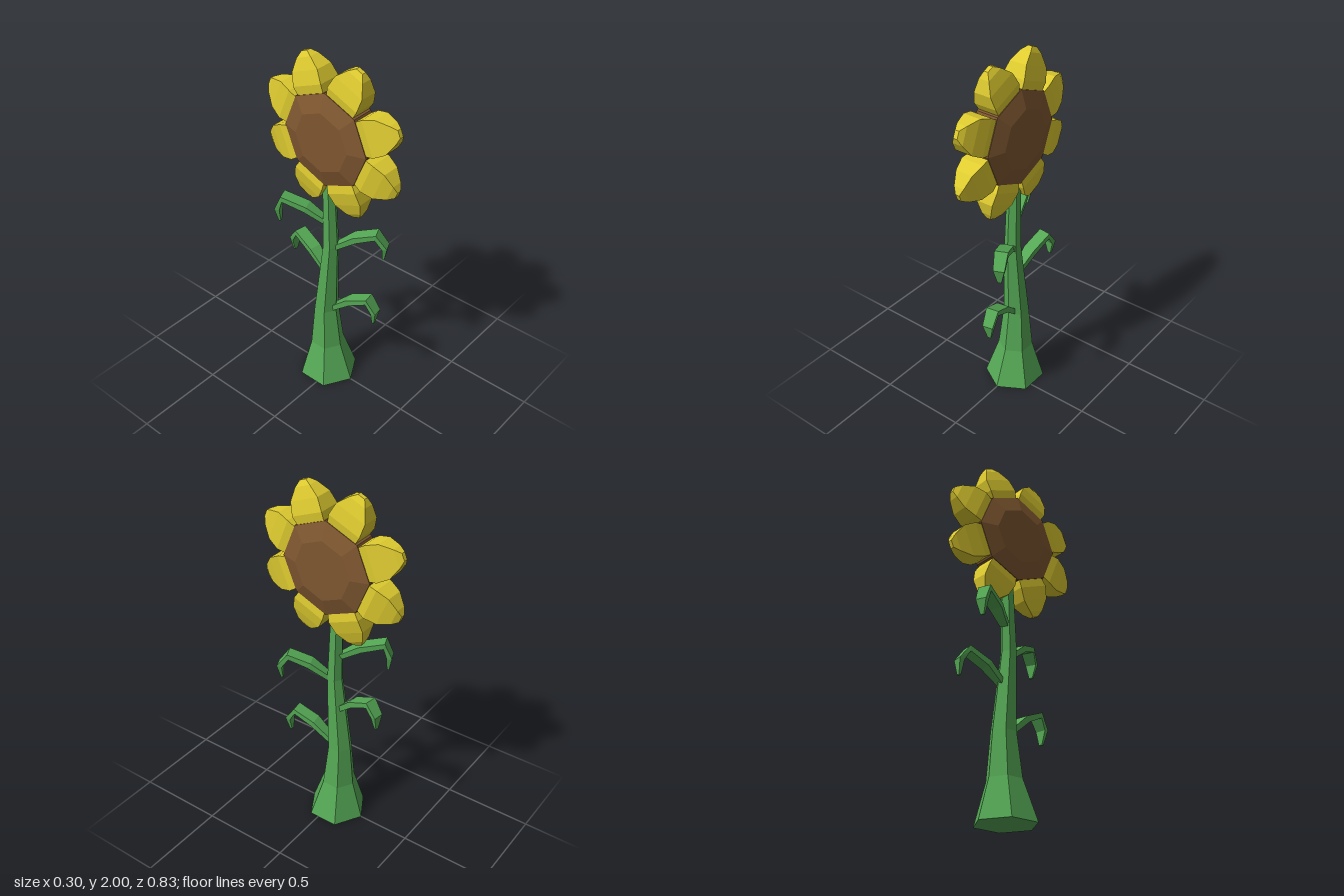
import * as THREE from 'three';

const material = (color) => new THREE.MeshStandardMaterial({ color, flatShading: true });
const green = material(0x55a855);
const brown = material(0x7f5730);
const yellow = material(0xdfcc30);

// Skin a list of equal-length rings (each counter-clockwise about the travel direction), capped at both ends
function loft(rings) {
  const n = rings[0].length;
  const index = [];
  for (let r = 0; r < rings.length - 1; r++) {
    for (let i = 0; i < n; i++) {
      const a = r * n + i, b = r * n + (i + 1) % n;
      index.push(a, b, b + n, a, b + n, a + n);
    }
  }
  const last = (rings.length - 1) * n;
  for (let i = 1; i < n - 1; i++) {
    index.push(0, i + 1, i);
    index.push(last, last + i, last + i + 1);
  }
  const indexed = new THREE.BufferGeometry().setFromPoints(rings.flat());
  indexed.setIndex(index);
  const geometry = indexed.toNonIndexed();
  geometry.computeVertexNormals();
  return geometry;
}

function part(name, geometry, mat) {
  const mesh = new THREE.Mesh(geometry, mat);
  mesh.name = name;
  return mesh;
}

const polygon = (sides, place) =>
  Array.from({ length: sides }, (_, i) => {
    const a = (i / sides) * Math.PI * 2;
    return place(Math.cos(a), Math.sin(a));
  });

const corners = [[-1, -1], [1, -1], [1, 1], [-1, 1]];

// Six-sided stem: [height, centre z, radius]
function stemGeometry() {
  const sections = [
    [0, -0.033, 0.168], [0.22, -0.042, 0.097], [0.465, -0.048, 0.07],
    [0.91, -0.014, 0.045], [1.4, -0.028, 0.033],
  ];
  return loft(sections.map(([y, z, r]) =>
    polygon(6, (c, s) => new THREE.Vector3(r * s, y, z + r * c))));
}

// Eight-sided seed disc with bevelled faces towards -x and +x: [x, radius]
function discGeometry() {
  const sections = [[-0.093, 0.165], [-0.063, 0.26], [0.063, 0.26], [0.093, 0.165]];
  return loft(sections.map(([x, r]) =>
    polygon(8, (c, s) => new THREE.Vector3(x, r * c, r * s))));
}

// Chunky petal pointing along +y: [radial distance, half width, half thickness]
function petalGeometry() {
  const sections = [
    [0.225, 0.085, 0.058], [0.285, 0.096, 0.065], [0.355, 0.088, 0.05],
    [0.415, 0.048, 0.03], [0.442, 0.02, 0.012],
  ];
  return loft(sections.map(([r, w, t]) =>
    corners.map(([u, v]) => new THREE.Vector3(v * t, r, u * w))));
}

// Drooping leaf growing along +z; path holds [reach, height] from root to tip
function leafGeometry(path) {
  const halfWidth = [0.022, 0.036, 0.036, 0.03, 0.01];
  const halfThick = [0.014, 0.017, 0.016, 0.014, 0.006];
  return loft(path.map(([z, y], i) => {
    const from = path[Math.max(i - 1, 0)];
    const to = path[Math.min(i + 1, path.length - 1)];
    const t = new THREE.Vector2(to[0] - from[0], to[1] - from[1]).normalize();
    return corners.map(([u, v]) => new THREE.Vector3(
      u * halfWidth[i], y + v * halfThick[i] * t.x, z - v * halfThick[i] * t.y));
  }));
}

export function createModel() {
  const model = new THREE.Group();
  model.name = 'sunflower';

  model.add(part('stem', stemGeometry(), green));

  // Leaves: root z, heading in plan (x, z), path
  const leaves = [
    [-0.03, 0.17, 0.985, [[0.02, 0.47], [0.14, 0.575], [0.25, 0.625], [0.295, 0.555], [0.285, 0.475]]],
    [-0.01, 0.42, 0.91, [[0.02, 0.905], [0.13, 0.985], [0.245, 1.025], [0.295, 0.955], [0.285, 0.875]]],
    [-0.03, -0.4, -0.92, [[0.02, 1.06], [0.12, 1.125], [0.25, 1.165], [0.278, 1.09], [0.27, 1.01]]],
    [-0.03, 0.13, -0.99, [[0.02, 0.72], [0.12, 0.81], [0.235, 0.865], [0.28, 0.8], [0.28, 0.72]]],
  ];
  for (const [z, dx, dz, path] of leaves) {
    const leaf = part('leaf', leafGeometry(path), green);
    leaf.position.z = z;
    leaf.rotation.y = Math.atan2(dx, dz);
    model.add(leaf);
  }

  // Flower head
  const head = new THREE.Group();
  head.name = 'flowerHead';
  head.position.y = 1.585;
  head.add(part('seedDisc', discGeometry(), brown));
  const petal = petalGeometry();
  for (let i = 0; i < 8; i++) {
    const mesh = part('petal', petal, yellow);
    mesh.rotation.x = (i + 0.5) * Math.PI / 4;
    head.add(mesh);
  }
  model.add(head);
  return model;
}
